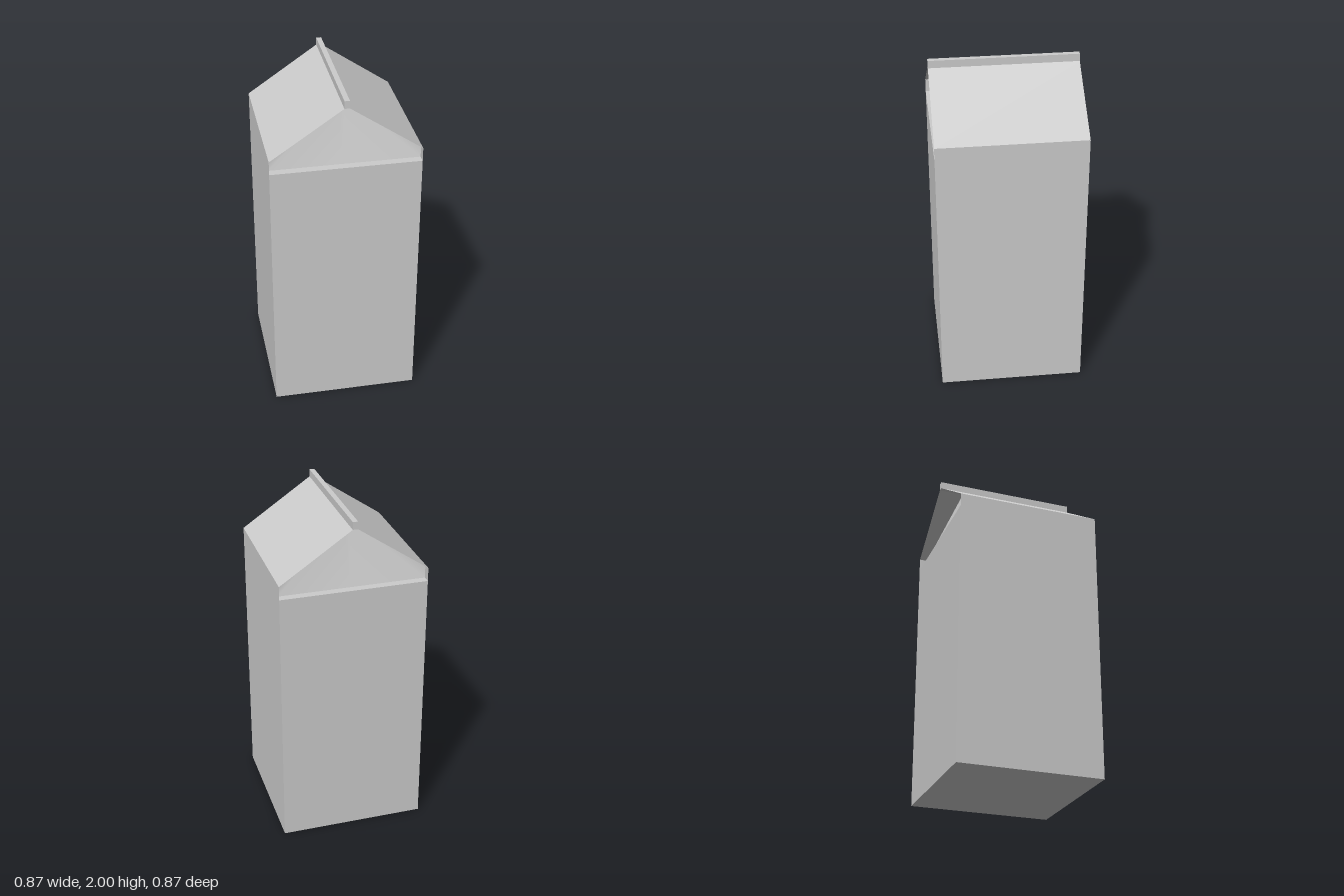
import * as THREE from 'three';

const W = 0.433;      // half width and half depth
const WALL = 1.59;    // top of the front and back walls
const EAVE = 1.67;    // top of the side walls
const PEAK = 1.955;   // where the roof meets the top seam
const SEAM = 0.015;   // half thickness of the top seam
const LEDGE = 0.385;  // z of the foot of a folded gable
const FOLD = 0.28;    // z of the apex of a folded gable

const material = new THREE.MeshStandardMaterial({ color: 0xcccccc, side: THREE.DoubleSide });

// Mesh from corner points; quads stay flat when each has its own corners
function surface(name, points, index) {
  const geometry = new THREE.BufferGeometry();
  geometry.setAttribute('position', new THREE.Float32BufferAttribute(points.flat(), 3));
  geometry.setIndex(index);
  geometry.computeVertexNormals();
  const mesh = new THREE.Mesh(geometry, material);
  mesh.name = name;
  return mesh;
}

const quad = (name, a, b, c, d) => surface(name, [a, b, c, d], [0, 1, 2, 0, 2, 3]);

// Strip spanning the full depth between two points of the cross-section
const panel = (name, [x0, y0], [x1, y1]) =>
  quad(name, [x0, y0, W], [x0, y0, -W], [x1, y1, -W], [x1, y1, W]);

// Front wall, ledge and gable folded in under the roof
function createEnd(name) {
  const end = new THREE.Group();
  end.name = name;
  end.add(
    quad('endWall', [-W, 0, W], [W, 0, W], [W, WALL, W], [-W, WALL, W]),
    quad('ledge', [-W, WALL, W], [W, WALL, W], [W, WALL, LEDGE], [-W, WALL, LEDGE]),
    surface('foldedGable', [
      [-W, WALL, LEDGE], [-SEAM, WALL, LEDGE], [SEAM, WALL, LEDGE], [W, WALL, LEDGE],
      [-W, EAVE, LEDGE], [-SEAM, PEAK, FOLD], [SEAM, PEAK, FOLD], [W, EAVE, LEDGE],
    ], [0, 1, 5, 0, 5, 4, 1, 2, 6, 1, 6, 5, 2, 3, 6, 3, 7, 6])
  );
  return end;
}

export function createModel() {
  const carton = new THREE.Group();
  carton.name = 'carton';

  // Bottom, side walls and roof slopes run the full depth
  carton.add(
    panel('bottom', [-W, 0], [W, 0]),
    panel('leftWall', [W, 0], [W, EAVE]),
    panel('leftRoof', [W, EAVE], [SEAM, PEAK]),
    panel('rightRoof', [-SEAM, PEAK], [-W, EAVE]),
    panel('rightWall', [-W, EAVE], [-W, 0])
  );

  // Pressed seam along the ridge
  const seam = new THREE.Mesh(new THREE.BoxGeometry(2 * SEAM, 2 - PEAK, 2 * W), material);
  seam.name = 'topSeam';
  seam.position.y = (2 + PEAK) / 2;
  carton.add(seam);

  // Matching folded ends
  const back = createEnd('backEnd');
  back.rotation.y = Math.PI;
  carton.add(createEnd('frontEnd'), back);

  return carton;
}
